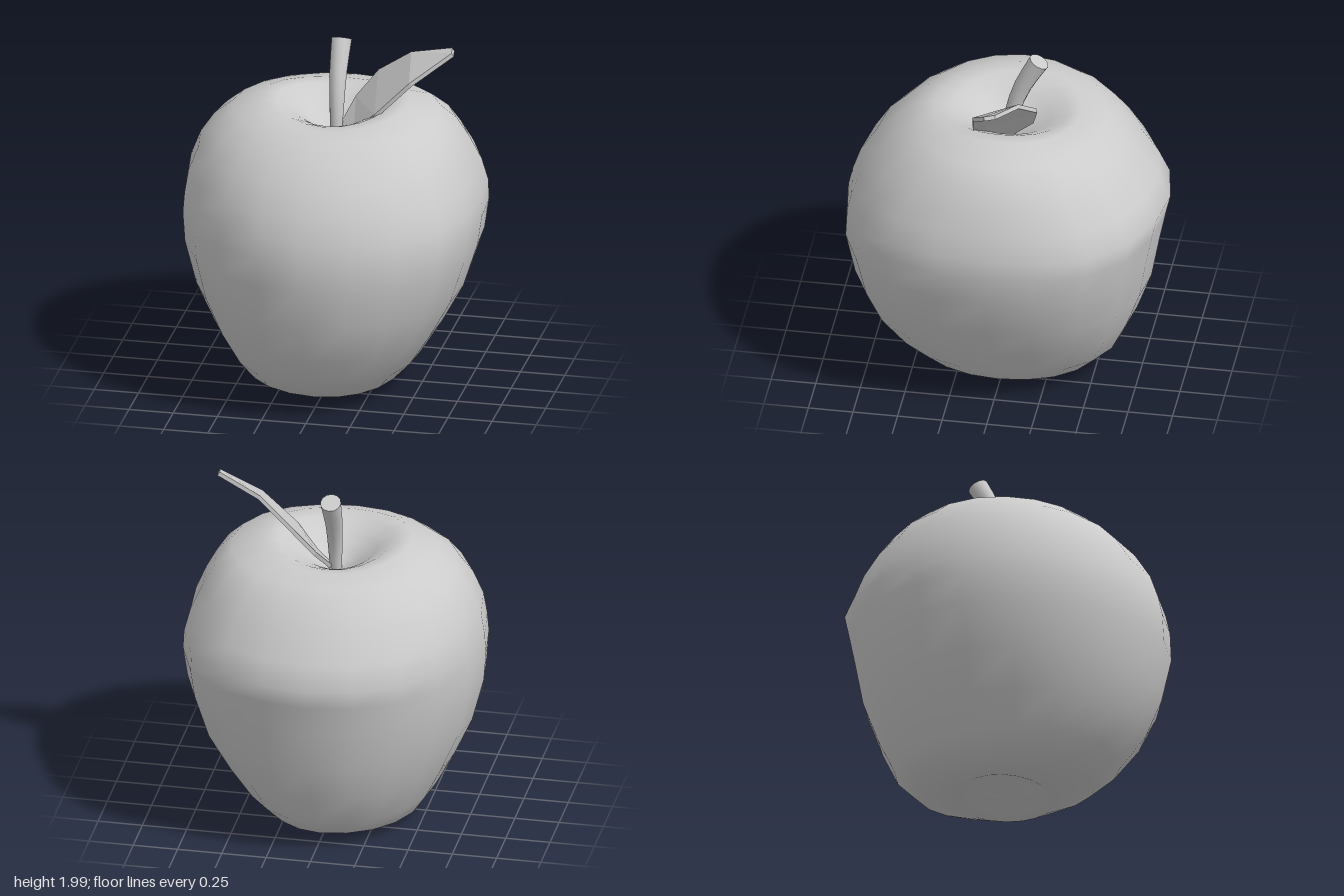
import * as THREE from 'three';

const material = () => new THREE.MeshStandardMaterial({ color: 0xcccccc });

// Skin a list of closed cross-sections (arrays of [x, y, z]), first to last
function loft(rings) {
  const n = rings[0].length, index = [];
  for (let r = 0; r < rings.length - 1; r++) {
    for (let i = 0; i < n; i++) {
      const a = r * n + i, b = r * n + (i + 1) % n;
      index.push(a, a + n, b, b, a + n, b + n);
    }
  }
  const g = new THREE.BufferGeometry();
  g.setAttribute('position', new THREE.Float32BufferAttribute(rings.flat(2), 3));
  g.setIndex(index);
  return g;
}

// Fruit: each level is [height, reach to -x, +x, +z, -z, drop at front and back]
function makeBody() {
  const levels = [
    [0.11, 0, 0, 0, 0, 0],
    [0.08, 0.12, 0.12, 0.12, 0.12, 0],
    [0.01, 0.34, 0.29, 0.26, 0.28, 0],
    [0.07, 0.48, 0.38, 0.5, 0.51, 0],
    [0.19, 0.56, 0.49, 0.64, 0.63, 0],
    [0.38, 0.66, 0.61, 0.78, 0.72, 0],
    [0.6, 0.76, 0.73, 0.86, 0.8, 0],
    [0.85, 0.825, 0.81, 0.91, 0.845, 0],
    [1.02, 0.838, 0.835, 0.9, 0.88, 0],
    [1.13, 0.83, 0.83, 0.875, 0.905, 0],
    [1.26, 0.81, 0.8, 0.83, 0.84, 0],
    [1.4, 0.755, 0.74, 0.74, 0.74, 0],
    [1.51, 0.68, 0.68, 0.63, 0.65, 0],
    [1.6, 0.57, 0.59, 0.52, 0.54, 0.01],
    [1.66, 0.41, 0.42, 0.42, 0.4, 0.04],
    [1.655, 0.32, 0.33, 0.32, 0.33, 0.045],
    [1.59, 0.22, 0.22, 0.21, 0.24, 0.02],
    [1.52, 0.13, 0.13, 0.12, 0.14, 0],
    [1.47, 0.05, 0.05, 0.05, 0.05, 0],
    [1.46, 0, 0, 0, 0, 0],
  ];
  const sides = 20;
  const rings = levels.map(([y, left, right, front, back, drop]) =>
    Array.from({ length: sides }, (_, i) => {
      const a = (i / sides) * Math.PI * 2, c = Math.cos(a), s = Math.sin(a);
      // Fuller shoulders on the +x diagonals, strongest at mid height
      const swell = 1 + 0.09 * Math.max(0, c) * Math.sin(2 * a) ** 2 * Math.sin(Math.PI * y / 1.7);
      return [c * (c > 0 ? right : left) * swell, y - drop * s * s, s * (s > 0 ? front : back) * swell];
    }));
  const g = loft(rings);
  g.computeVertexNormals();
  return g;
}

// Stem: round sections widening along a path that bends backward
function makeStem() {
  const path = new THREE.CatmullRomCurve3([
    new THREE.Vector3(0.01, 1.43, 0.0), new THREE.Vector3(0.01, 1.6, -0.02),
    new THREE.Vector3(0.005, 1.78, -0.08), new THREE.Vector3(0.005, 1.945, -0.17),
  ]);
  const steps = 6, sides = 12;
  const rings = [];
  for (let k = 0; k <= steps; k++) {
    const t = k / steps, p = path.getPoint(t), d = path.getTangent(t);
    const r = 0.032 + 0.026 * t;
    const up = new THREE.Vector3(1, 0, 0).cross(d).normalize();
    rings.push(Array.from({ length: sides }, (_, i) => {
      const a = (i / sides) * Math.PI * 2, c = Math.cos(a) * r, s = -Math.sin(a) * r;
      return [p.x + c, p.y + up.y * s, p.z + up.z * s];
    }));
  }
  const g = loft(rings);
  g.computeVertexNormals();
  const cap = new THREE.CircleGeometry(0.058, sides);
  const end = path.getTangent(1);
  cap.applyQuaternion(new THREE.Quaternion().setFromUnitVectors(new THREE.Vector3(0, 0, 1), end));
  cap.translate(...path.getPoint(1).toArray());
  return [g, cap];
}

// Leaf: thin slab, each section given by its back and front edge points
function makeLeaf() {
  const sections = [
    [[0.02, 1.48, -0.02], [0.03, 1.47, 0.02]],
    [[0.09, 1.62, -0.15], [0.13, 1.52, 0.09]],
    [[0.21, 1.77, -0.19], [0.26, 1.64, 0.16]],
    [[0.41, 1.92, -0.12], [0.45, 1.83, 0.13]],
    [[0.66, 2.0, -0.03], [0.67, 1.99, 0.03]],
  ];
  const under = ([x, y, z]) => [x + 0.012, y - 0.02, z - 0.005];
  const rings = sections.map(([b, f]) => [b, under(b), under(f), f]);
  const g = loft(rings);
  // Close both ends
  const e = (rings.length - 1) * 4;
  g.setIndex([...g.index.array, 0, 1, 2, 0, 2, 3, e, e + 2, e + 1, e, e + 3, e + 2]);
  const flat = g.toNonIndexed();
  flat.computeVertexNormals();
  return flat;
}

export function createModel() {
  const model = new THREE.Group();
  model.name = 'apple';
  const add = (name, geometry, parent = model) => {
    const mesh = new THREE.Mesh(geometry, material());
    mesh.name = name;
    parent.add(mesh);
    return mesh;
  };

  add('fruit', makeBody());

  const stem = new THREE.Group();
  stem.name = 'stem';
  model.add(stem);
  const [shaft, cap] = makeStem();
  add('stemShaft', shaft, stem).material.side = THREE.DoubleSide;
  add('stemEnd', cap, stem);

  const leaf = add('leaf', makeLeaf());
  leaf.material.side = THREE.DoubleSide;
  leaf.material.flatShading = true;
  return model;
}
